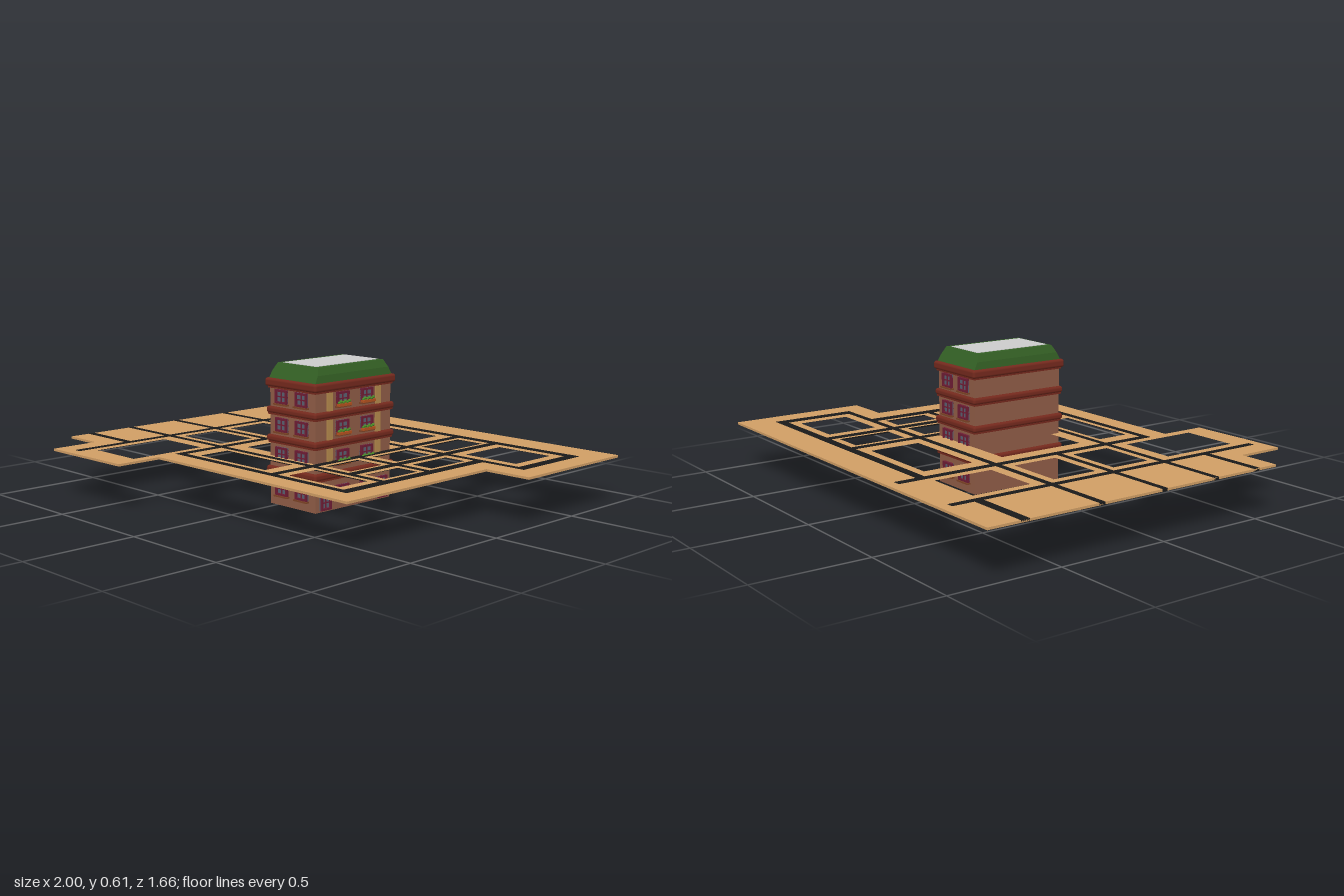
import * as THREE from 'three';
import { RoundedBoxGeometry } from 'three/addons/geometries/RoundedBoxGeometry.js';

const mat = (color) => new THREE.MeshStandardMaterial({ color });
const M = {
  ground: mat(0xcf9d64), road: mat(0x191919), wall: mat(0x8f5c46), pilaster: mat(0xb58a4c),
  ledge: mat(0x74291d), roof: mat(0x335f24), roofTop: mat(0xcccccc), frame: mat(0x6e1c34),
  glass: mat(0x5a6070), sill: mat(0x7d4426), planter: mat(0xb5521f), leaf: mat(0x4c8a28),
};

function add(parent, name, geometry, material, x = 0, y = 0, z = 0) {
  const mesh = new THREE.Mesh(geometry, material);
  mesh.name = name;
  mesh.position.set(x, y, z);
  parent.add(mesh);
  return mesh;
}
const box = (p, name, m, w, h, d, x, y, z) => add(p, name, new THREE.BoxGeometry(w, h, d), m, x, y, z);

// Rectangular path on the ground plan (shape y is -z)
function rectPath(x0, x1, z0, z1) {
  const path = new THREE.Path();
  path.moveTo(x0, -z0).lineTo(x1, -z0).lineTo(x1, -z1).lineTo(x0, -z1).closePath();
  return path;
}

function groundPlate() {
  const g = new THREE.Group();
  g.name = 'streetPlan';
  const outline = [[-1, -0.83], [1, -0.83], [1, -0.2], [0.785, -0.2], [0.785, 0.61], [-0.34, 0.61],
    [-0.34, 0.82], [-0.81, 0.83], [-0.81, 0.61], [-1, 0.61]];
  const shape = new THREE.Shape(outline.map(([x, z]) => new THREE.Vector2(x, -z)));
  // Open city blocks: x0, x1, z0, z1
  const blocks = [
    [-0.645, -0.385, -0.645, -0.375], [-0.645, -0.385, -0.26, -0.05], [-0.645, -0.385, 0.045, 0.23],
    [-0.645, -0.385, 0.345, 0.71],
    [-0.245, 0.168, -0.605, -0.37], [-0.245, 0.168, -0.22, 0.195], [-0.245, 0.168, 0.31, 0.46],
    [0.29, 0.43, -0.61, -0.365], [0.29, 0.43, -0.26, -0.05], [0.29, 0.43, 0.045, 0.23],
    [0.31, 0.6, 0.31, 0.46],
    [0.535, 0.805, -0.605, -0.37], [0.515, 0.62, -0.26, -0.05], [0.515, 0.62, 0.04, 0.23],
  ];
  blocks.forEach((b) => shape.holes.push(rectPath(...b)));
  const plate = new THREE.ExtrudeGeometry(shape, { depth: 0.01, bevelEnabled: false });
  plate.rotateX(-Math.PI / 2);
  add(g, 'pavement', plate, M.ground, 0, 0.201, 0);

  // Roads along z: x, width, z0, z1
  [[-0.7, 0.03, -0.785, 0.78], [-0.33, 0.034, -0.785, 0.515], [0.25, 0.034, -0.67, 0.51],
    [0.467, 0.038, -0.67, 0.28], [0.665, 0.045, -0.31, 0.515], [0.877, 0.046, -0.685, -0.3],
  ].forEach(([x, w, a, b]) => box(g, 'road', M.road, w, 0.0124, b - a, x, 0.206, (a + b) / 2));
  // Roads along x: z, width, x0, x1
  [[-0.665, 0.04, -1, -0.685], [-0.665, 0.04, -0.347, 0.9], [-0.312, 0.028, -1, 0.9],
    [0, 0.026, -1, -0.32], [0, 0.026, 0.25, 0.687], [0.273, 0.026, -1, 0.687],
    [0.5, 0.03, -1, -0.685], [0.5, 0.03, -0.347, 0.687],
  ].forEach(([z, w, a, b]) => box(g, 'road', M.road, b - a, 0.012, w, (a + b) / 2, 0.206, z));
  return g;
}

// Framed panes facing +z with the back on z = 0
function glazed(name, w, h, rows) {
  const g = new THREE.Group();
  g.name = name;
  const t = 0.009, d = 0.013;
  box(g, 'glass', M.glass, w, h, 0.005, 0, 0, 0.0025);
  [-1, 1].forEach((s) => {
    box(g, 'jamb', M.frame, t, h, d, s * (w - t) / 2, 0, d / 2);
    box(g, 'rail', M.frame, w, t, d, 0, s * (h - t) / 2, d / 2);
  });
  box(g, 'mullion', M.frame, 0.005, h, 0.009, 0, 0, 0.0045);
  for (let i = 1; i < rows; i++) {
    box(g, 'crossbar', M.frame, w, 0.005, 0.009, 0, h * (i / rows - 0.5), 0.0045);
  }
  return g;
}

function windowUnit(planted) {
  const g = glazed('window', 0.07, 0.06, 2);
  box(g, 'sill', M.sill, 0.08, 0.007, 0.018, 0, -0.033, 0.009);
  if (planted) {
    box(g, 'planter', M.planter, 0.074, 0.011, 0.019, 0, -0.025, 0.0155);
    for (let i = 0; i < 6; i++) {
      const leaf = add(g, 'plant', new THREE.IcosahedronGeometry(0.0075, 0), M.leaf,
        -0.03 + i * 0.012, -0.016 + (i % 2) * 0.004, 0.016);
      leaf.rotation.y = i;
    }
  }
  return g;
}

function building() {
  const g = new THREE.Group();
  g.name = 'building';
  const hx = 0.138, hz = 0.227;
  g.position.set(0.094, 0, 0.01);
  box(g, 'walls', M.wall, hx * 2, 0.54, hz * 2, 0, 0.27, 0);

  // Rounded ledges between floors: y, height, overhang
  [[0.153, 0.03, 0.014], [0.29, 0.028, 0.014], [0.412, 0.028, 0.014], [0.53, 0.036, 0.018]].forEach(([y, h, o]) => {
    add(g, 'ledge', new RoundedBoxGeometry((hx + o) * 2, h, (hz + o) * 2, 3, 0.011), M.ledge, 0, y, 0);
    box(g, 'ledgeMoulding', M.ledge, (hx + 0.007) * 2, 0.01, (hz + 0.007) * 2, 0, y - h / 2 - 0.002, 0);
  });

  // Places a unit on a wall: u runs along the wall, turn is the facing
  const place = (unit, turn, dist, u, y) => {
    unit.rotation.y = turn;
    unit.position.set(Math.sin(turn) * dist + Math.cos(turn) * u, y, Math.cos(turn) * dist - Math.sin(turn) * u);
    g.add(unit);
  };
  const rows = [0.075, 0.226, 0.352, 0.473];
  rows.forEach((y, i) => [-1, 1].forEach((s) => {
    place(windowUnit(i > 0), Math.PI / 2, hx, s * 0.073, y);
    place(windowUnit(false), 0, hz, s * 0.061, y);
    place(windowUnit(false), Math.PI, hz, s * 0.061, y);
  }));
  [-1, 1].forEach((s) => {
    place(glazed('door', 0.06, 0.096, 3), Math.PI / 2, hx, s * 0.172, 0.056);
    box(g, 'pilaster', M.pilaster, 0.01, 0.36, 0.032, hx, 0.345, s * 0.146);
  });

  // Mansard roof: the box narrows towards its top
  const roof = new THREE.BoxGeometry(hx * 2 + 0.008, 0.064, hz * 2 + 0.006, 1, 2, 1).toNonIndexed();
  const p = roof.attributes.position;
  for (let i = 0; i < p.count; i++) {
    const k = (p.getY(i) + 0.032) / 0.064;
    p.setX(i, p.getX(i) * (1 - 0.13 * k * k));
    p.setZ(i, p.getZ(i) * (1 - 0.15 * k));
  }
  roof.computeVertexNormals();
  add(g, 'roof', roof, M.roof, 0, 0.579, 0);
  box(g, 'roofTop', M.roofTop, 0.202, 0.006, 0.37, 0, 0.61, 0);
  return g;
}

export function createModel() {
  const model = new THREE.Group();
  model.name = 'cityBlock';
  model.add(groundPlate(), building());
  return model;
}
